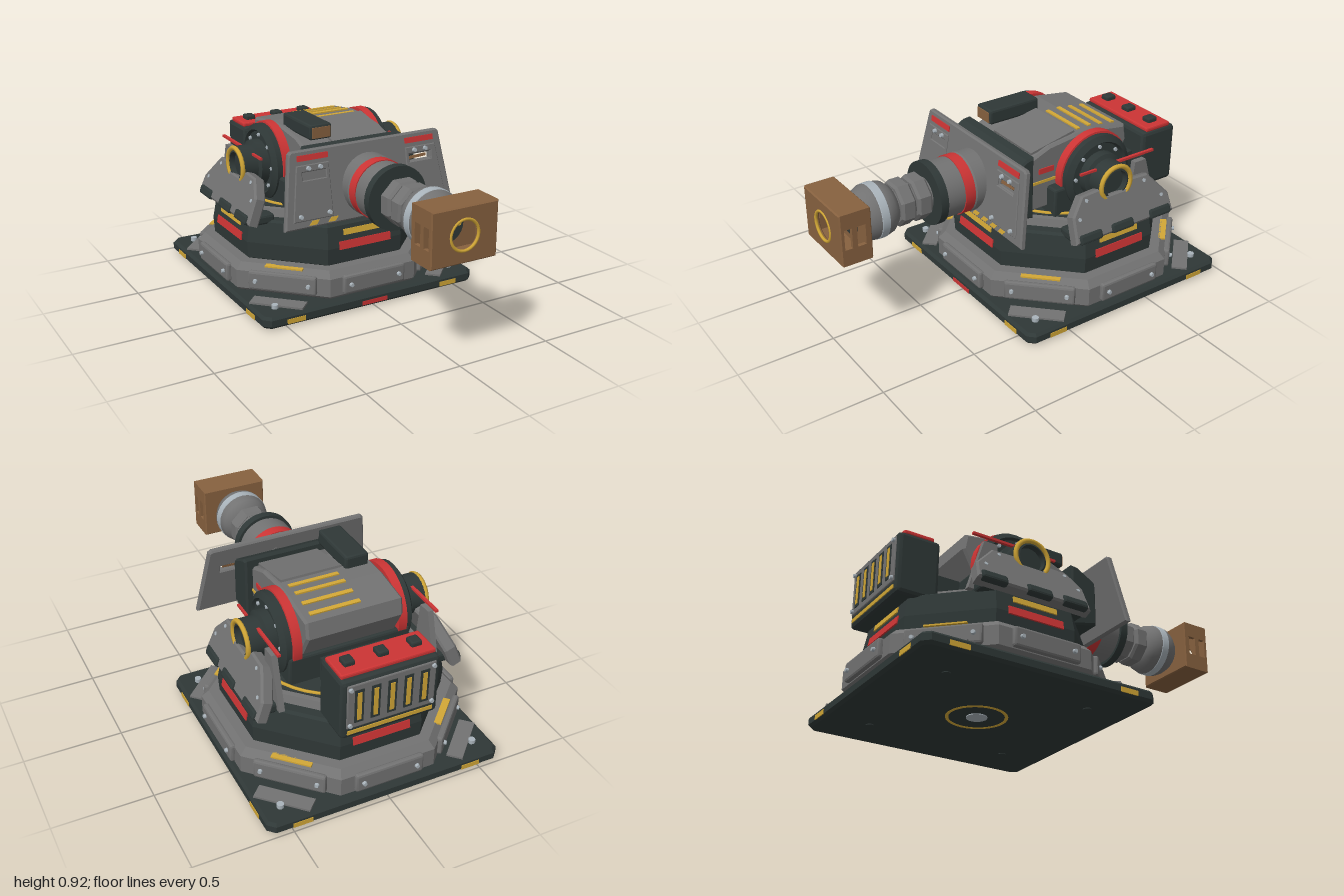
import * as THREE from 'three';
import { toCreasedNormals } from 'three/addons/utils/BufferGeometryUtils.js';
import { RoundedBoxGeometry } from 'three/addons/geometries/RoundedBoxGeometry.js';

const paint = (name, color) => {
  const m = new THREE.MeshStandardMaterial({ color });
  m.name = name;
  return m;
};

export function createModel() {
  const grey = paint('armour grey', 0x727272), dark = paint('dark hull', 0x2f3837);
  const light = paint('bare metal', 0xa9b3ba), red = paint('signal red', 0xcc3434);
  const yellow = paint('hazard yellow', 0xd2a736), brown = paint('muzzle brown', 0x87613f);
  const root = new THREE.Group();
  root.name = 'turret';

  // Helpers
  const group = (parent, name, x = 0, y = 0, z = 0) => {
    const g = new THREE.Group();
    g.name = name;
    g.position.set(x, y, z);
    parent.add(g);
    return g;
  };
  const add = (parent, name, geo, mat, p = [0, 0, 0], r = [0, 0, 0]) => {
    const m = new THREE.Mesh(geo, mat);
    m.name = name;
    m.position.set(...p);
    m.rotation.set(...r);
    parent.add(m);
    return m;
  };
  const box = (w, h, d) => new THREE.BoxGeometry(w, h, d);
  const chamfer = (w, h, d, c = 0.012) => toCreasedNormals(new RoundedBoxGeometry(w, h, d, 1, c), 0.3);
  const turned = (pts, n = 32, crease = 0.5, start = 0) =>
    toCreasedNormals(new THREE.LatheGeometry(pts.map(([r, y]) => new THREE.Vector2(r, y)), n, start), crease);
  // Octagon given by its distance from centre to flat
  const octagon = pts => turned(pts.map(([a, y]) => [a / Math.cos(Math.PI / 8), y]), 8, 0.2, Math.PI / 8);
  const outline = pts => new THREE.Shape(pts.map(([x, y]) => new THREE.Vector2(x, y)));
  const hole = (shape, x0, x1, y0, y1) =>
    shape.holes.push(outline([[x0, y0], [x0, y1], [x1, y1], [x1, y0]]));
  const slab = (shape, depth, bevel = 0) => new THREE.ExtrudeGeometry(shape, {
    depth, bevelEnabled: bevel > 0, bevelSize: bevel, bevelThickness: bevel, bevelOffset: -bevel,
    bevelSegments: 1, curveSegments: 24 });
  // Profile drawn as [z, y], thickened along +x
  const profile = (pts, depth, bevel) =>
    slab(outline(pts.map(([z, y]) => [-z, y]).reverse()), depth, bevel).rotateY(Math.PI / 2);
  const bolt = (parent, x, y, z) =>
    add(parent, 'bolt', new THREE.CylinderGeometry(0.01, 0.013, 0.016, 8), light, [x, y, z], [Math.PI / 2, 0, 0]);

  // Square foot with corner plates and edge marks
  const base = group(root, 'base', 0, 0, -0.37);
  const sq = (s, c) => outline([[-s + c, -s], [s - c, -s], [s, -s + c], [s, s - c], [s - c, s], [-s + c, s], [-s, s - c], [-s, -s + c]]);
  add(base, 'footPlate', slab(sq(0.62, 0.035), 0.034, 0.014).rotateX(-Math.PI / 2), dark, [0, 0.014, 0]);
  add(base, 'footStep', octagon([[0.56, 0.055], [0.56, 0.085]]), dark);
  add(base, 'undersideRing', new THREE.TorusGeometry(0.145, 0.013, 6, 32), yellow, [0, 0.008, 0], [Math.PI / 2, 0, 0]);
  add(base, 'undersideHub', new THREE.CylinderGeometry(0.052, 0.052, 0.01, 24), light, [0, 0.001, 0]);
  add(base, 'frontMark', box(0.15, 0.022, 0.006), red, [0, 0.024, 0.62]);
  for (let i = 0; i < 4; i++) {
    const side = group(base, 'baseSide');
    side.rotation.y = i * Math.PI / 2;
    for (const s of [-1, 1]) add(side, 'edgeMark', box(0.1, 0.025, 0.006), yellow, [s * 0.45, 0.025, 0.62]);
    const corner = group(base, 'baseCorner');
    corner.rotation.y = Math.PI / 4 + i * Math.PI / 2;
    add(corner, 'cornerPlate', box(0.28, 0.012, 0.08), grey, [0, 0.066, 0.68]);
    add(corner, 'cornerBolt', new THREE.CylinderGeometry(0.018, 0.018, 0.02, 8), light, [0, 0.073, 0.735]);
    add(corner, 'undersideBolt', new THREE.CylinderGeometry(0.022, 0.022, 0.008, 8), dark, [0, 0, 0.54]);
  }

  // Octagonal armour ring and slewing ring
  add(base, 'armourRing', octagon([[0.5, 0.075], [0.585, 0.075], [0.6, 0.09], [0.6, 0.185], [0.565, 0.22], [0.4, 0.22]]), grey);
  add(base, 'slewingRing', octagon([[0.5, 0.215], [0.515, 0.225], [0.52, 0.31], [0.5, 0.42], [0.485, 0.43], [0, 0.43]]), dark);
  add(base, 'deckRim', octagon([[0.44, 0.43], [0.43, 0.47], [0.38, 0.47]]), grey);
  add(base, 'deck', octagon([[0.4, 0.43], [0.4, 0.475], [0, 0.475]]), dark);
  add(base, 'deckTrim', new THREE.TorusGeometry(0.385, 0.009, 5, 40), yellow, [0, 0.478, 0], [Math.PI / 2, 0, 0]);
  for (let i = 0; i < 8; i++) {
    const face = group(base, 'ringFace');
    face.rotation.y = i * Math.PI / 4;
    add(face, 'ringPanel', chamfer(0.36, 0.1, 0.034), grey, [0, 0.145, 0.606]);
    for (const s of [-1, 1]) bolt(face, s * 0.14, 0.145, 0.628);
    if (i % 2) add(face, 'rimMark', box(0.2, 0.008, 0.035), yellow, [0, 0.216, 0.575]);
    else {
      add(face, 'redMark', box(0.3, 0.042, 0.008), red, [0, 0.32, 0.52], [-0.18, 0, 0]);
      add(face, 'yellowMark', box(0.24, 0.03, 0.008), yellow, [0, 0.385, 0.509], [-0.18, 0, 0]);
    }
  }

  // Gun housing
  const housing = group(root, 'housing');
  add(housing, 'pedestal', chamfer(0.64, 0.16, 0.46), dark, [0, 0.54, -0.34]);
  add(housing, 'housingBody', profile([[0.02, 0.5], [0.02, 0.78], [-0.12, 0.835], [-0.28, 0.855], [-0.4, 0.855], [-0.6, 0.825], [-0.615, 0.74], [-0.54, 0.6], [-0.5, 0.5]], 0.48, 0.012),
    grey, [-0.24, 0, 0]);
  add(housing, 'roofPanel', box(0.32, 0.012, 0.27), grey, [0.07, 0.838, -0.155], [0.2, 0, 0]);
  [-0.33, -0.4, -0.475, -0.55].forEach((z, i) =>
    add(housing, 'roofVent', box(0.26, 0.008, 0.022), yellow, [0.08, [0.858, 0.858, 0.847, 0.836][i], z], [i > 1 ? -0.15 : 0, 0, 0]));
  for (let i = 0; i < 5; i++)
    add(housing, 'roofStripe', slab(outline([[0, 0], [0.02, 0], [0.005, 0.13], [-0.015, 0.13]]), 0.006), yellow,
      [0.04 + i * 0.037, 0.832, -0.155], [-Math.PI / 2 + 0.2, 0, 0]);
  add(housing, 'mantlet', profile([[0, 0.485], [0, 0.825], [0.04, 0.82], [0.15, 0.76], [0.15, 0.52]], 0.56, 0.01), dark, [-0.28, 0, 0]);

  // Roof sight
  add(housing, 'sight', chamfer(0.125, 0.078, 0.3), dark, [-0.163, 0.878, -0.16]);
  add(housing, 'sightLens', box(0.1, 0.055, 0.008), brown, [-0.163, 0.877, -0.009]);

  // Trunnions and sloped cheeks, mirrored
  for (const s of [1, -1]) {
    const side = group(root, s > 0 ? 'leftSide' : 'rightSide');
    side.scale.x = s;
    const axle = group(side, 'trunnion', 0, 0.655, -0.365);
    axle.rotation.z = -Math.PI / 2;
    add(axle, 'redRing', turned([[0, 0.255], [0.21, 0.255], [0.21, 0.3], [0.17, 0.305]], 32), red);
    add(axle, 'wheel', turned([[0.2, 0.29], [0.2, 0.33], [0.17, 0.35], [0.16, 0.335], [0, 0.335]], 32), dark);
    add(axle, 'axleDrum', turned([[0.12, 0.33], [0.12, 0.38], [0.1, 0.39], [0.1, 0.47], [0.07, 0.478], [0.065, 0.45], [0, 0.45]], 24), dark);
    add(axle, 'axleRing', new THREE.TorusGeometry(0.092, 0.013, 6, 28), yellow, [0, 0.475, 0], [Math.PI / 2, 0, 0]);
    for (let i = 0; i < 8; i++)
      add(axle, 'wheelBolt', new THREE.CylinderGeometry(0.01, 0.01, 0.015, 6), light,
        [0.145 * Math.cos(i * Math.PI / 4), 0.338, 0.145 * Math.sin(i * Math.PI / 4)]);
    add(side, 'sideStripe', box(0.008, 0.014, 0.22), yellow, [0.253, 0.655, -0.1]);
    add(side, 'sideMark', box(0.008, 0.028, 0.09), red, [0.254, 0.715, -0.1]);

    const cheek = group(side, 'cheek', 0.5, 0.41, 0);
    cheek.rotation.z = 0.38;
    add(cheek, 'cheekPlate', profile([[-0.075, 0], [-0.085, 0.14], [-0.16, 0.23], [-0.27, 0.235], [-0.31, 0.19], [-0.42, 0.19], [-0.46, 0.235], [-0.58, 0.23], [-0.69, 0.1], [-0.7, 0]], 0.045, 0.01), grey);
    [-0.165, -0.365, -0.61].forEach(z => add(cheek, 'bumper', chamfer(0.04, 0.05, 0.14), dark, [0.045, 0.02, z]));
    [[-0.12, 0.12], [-0.18, 0.2], [-0.55, 0.2], [-0.64, 0.1]].forEach(([z, y]) =>
      add(cheek, 'cheekBolt', new THREE.CylinderGeometry(0.01, 0.012, 0.016, 8), light, [0.049, y, z], [0, 0, -Math.PI / 2]));
    add(side, 'cheekBrace', profile([[-0.68, 0.43], [-0.6, 0.7], [-0.53, 0.7], [-0.5, 0.43]], 0.03), grey, [0.395, 0, 0]);
    add(side, 'redRail', box(0.016, 0.012, 0.27), red, [0.41, 0.732, -0.52]);
    add(side, 'redRailFront', box(0.012, 0.012, 0.1), red, [0.41, 0.725, -0.24]);
    add(side, 'cheekFoot', chamfer(0.12, 0.05, 0.56), dark, [0.45, 0.435, -0.37]);
  }

  // Front shield, leaning back, with a vision slot
  const shield = group(root, 'shield', 0, 0.475, 0.195);
  shield.rotation.x = -0.18;
  const plate = outline([[-0.485, 0], [0.485, 0], [0.43, 0.37], [0.415, 0.382], [-0.415, 0.382], [-0.43, 0.37]]);
  hole(plate, 0.245, 0.365, 0.24, 0.27);
  add(shield, 'shieldPlate', slab(plate, 0.018, 0.008), grey);
  add(shield, 'slotBar', box(0.11, 0.014, 0.008), brown, [0.295, 0.255, 0.01], [0, 0, 0.05]);
  for (const s of [1, -1]) {
    const half = group(shield, s > 0 ? 'leftHalf' : 'rightHalf');
    half.scale.x = s;
    const inset = outline([[0.22, 0.038], [0.44, 0.038], [0.398, 0.31], [0.22, 0.31]]);
    hole(inset, 0.24, 0.37, 0.235, 0.275);
    add(half, 'shieldPanel', slab(inset, 0.004, 0.004), grey, [0, 0, 0.025]);
    add(half, 'shieldMark', box(0.168, 0.028, 0.008), red, [0.305, 0.344, 0.028]);
    [[0.27, 0.292], [0.335, 0.292], [0.242, 0.062], [0.4, 0.062]].forEach(([x, y]) => bolt(half, x, y, 0.038));
  }
  [-0.355, -0.25, 0.075, 0.15, 0.225, 0.295].forEach(x =>
    add(shield, 'hazardStripe', slab(outline([[0, 0.012], [0.04, 0.012], [0.058, 0.034], [0.018, 0.034]]), 0.004), yellow, [x, 0, 0.025]));

  // Barrel, turned around its long axis
  const barrel = group(root, 'barrel', 0, 0.64, 0);
  barrel.rotation.x = Math.PI / 2;
  add(barrel, 'sleeve', turned([[0.155, 0.13], [0.155, 0.24], [0.148, 0.25], [0.148, 0.42]]), grey);
  add(barrel, 'sleeveBand', turned([[0.147, 0.25], [0.153, 0.25], [0.153, 0.305], [0.147, 0.305]]), red);
  add(barrel, 'collar', turned([[0.14, 0.41], [0.163, 0.41], [0.163, 0.452], [0, 0.452]]), dark);
  add(barrel, 'tube', new THREE.CylinderGeometry(0.088, 0.088, 0.4, 24), grey, [0, 0.64, 0]);
  for (const y of [0.505, 0.595])
    add(barrel, 'nut', turned([[0.085, y - 0.04], [0.105, y - 0.04], [0.118, y - 0.028], [0.118, y + 0.028], [0.105, y + 0.04], [0.085, y + 0.04]], 8, 0.2, Math.PI / 8), grey);
  add(barrel, 'bulb', turned([[0.08, 0.64], [0.1, 0.645], [0.128, 0.675], [0.137, 0.71], [0.137, 0.775], [0.12, 0.81], [0.09, 0.845]], 32, 0.6), grey);
  add(barrel, 'bulbBand', turned([[0.136, 0.715], [0.14, 0.718], [0.14, 0.757], [0.136, 0.76]]), light);

  // Hollow muzzle block with side slots and a round bore
  const muzzle = group(root, 'muzzle', 0, 0.64, 0.92);
  const face = outline([[-0.178, -0.135], [0.178, -0.135], [0.178, 0.135], [-0.178, 0.135]]);
  add(muzzle, 'muzzleBack', slab(face, 0.014, 0.006), brown, [0, 0, -0.076]);
  const front = face.clone();
  front.holes.push(new THREE.Path().absarc(0, 0, 0.072, 0, Math.PI * 2, true));
  add(muzzle, 'muzzleFront', slab(front, 0.008, 0.006), brown, [0, 0, 0.066]);
  for (const s of [-1, 1]) {
    add(muzzle, 'muzzleCap', box(0.356, 0.02, 0.14), brown, [0, s * 0.125, 0]);
    const wall = outline([[-0.07, -0.125], [0.07, -0.125], [0.07, 0.125], [-0.07, 0.125]]);
    hole(wall, -0.06, -0.02, -0.05, 0.055);
    hole(wall, 0.006, 0.05, -0.05, 0.055);
    add(muzzle, 'muzzleWall', slab(wall, 0.02).rotateY(Math.PI / 2), brown, [s * 0.168 - 0.01, 0, 0]);
  }
  add(muzzle, 'boreRing', new THREE.TorusGeometry(0.075, 0.008, 6, 28), yellow, [0, 0, 0.078]);
  add(muzzle, 'boreBack', new THREE.CylinderGeometry(0.085, 0.085, 0.006, 24), dark, [0, 0, -0.055], [Math.PI / 2, 0, 0]);
  add(muzzle, 'boreStripe', box(0.14, 0.016, 0.006), yellow, [0, 0, -0.05]);

  // Rear equipment box
  const rear = group(root, 'rearBox', 0, 0, -0.845);
  add(rear, 'rearCase', chamfer(0.5, 0.32, 0.22, 0.02), dark, [0, 0.57, 0]);
  add(rear, 'rearLid', chamfer(0.48, 0.025, 0.16, 0.008), red, [0, 0.737, 0]);
  for (const x of [-0.17, 0, 0.17]) add(rear, 'lidKnob', chamfer(0.055, 0.03, 0.06, 0.008), dark, [x, 0.758, 0]);
  add(rear, 'rearPanel', chamfer(0.45, 0.24, 0.02, 0.006), grey, [0, 0.59, -0.107]);
  for (let i = -2; i <= 2; i++) {
    add(rear, 'rearSlot', box(0.046, 0.18, 0.006), dark, [i * 0.083, 0.59, -0.117]);
    add(rear, 'rearSlat', box(0.022, 0.15, 0.006), yellow, [i * 0.083, 0.59, -0.12]);
  }
  for (const x of [-0.21, 0.21]) for (const y of [0.49, 0.69]) bolt(rear, x, y, -0.12).rotation.x *= -1;
  add(rear, 'rearStripe', box(0.44, 0.02, 0.008), yellow, [0, 0.445, -0.11]);
  add(rear, 'rearMount', box(0.34, 0.14, 0.2), dark, [0, 0.53, 0.16]);
  return root;
}
